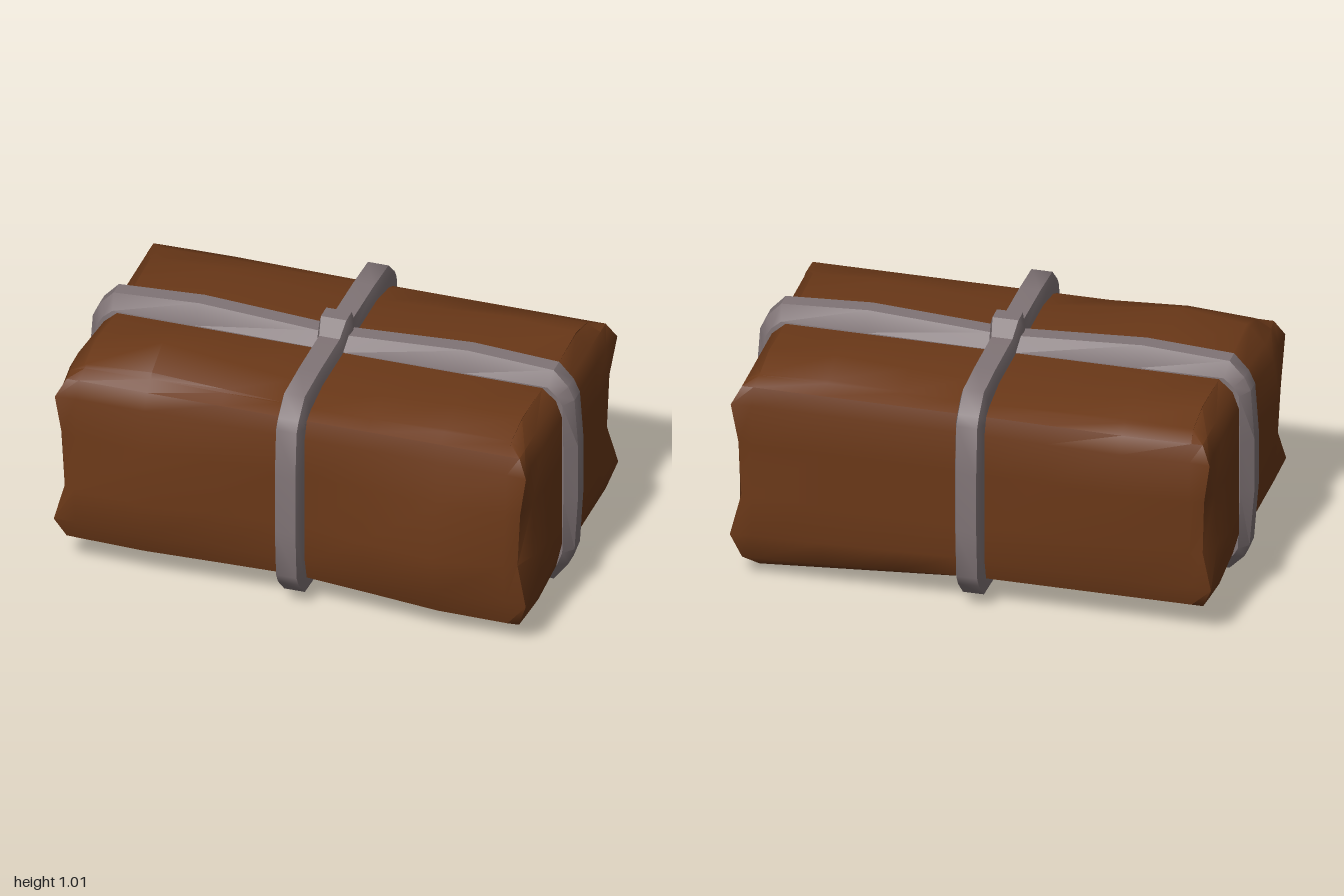
import * as THREE from 'three';
import { mergeVertices, toCreasedNormals } from 'three/addons/utils/BufferGeometryUtils.js';

const brown = new THREE.MeshStandardMaterial({ color: 0x6a3818 });
const grey = new THREE.MeshStandardMaterial({ color: 0x807476, side: THREE.DoubleSide });

// Grid levels of the wrapped bundle; inset rounds its top and bottom edges,
// pinch makes the upright corners wavy
const X = [-0.95, -0.88, -0.6, -0.3, -0.06, 0.06, 0.3, 0.6, 0.88, 0.95];
const Y = [0.1, 0.13, 0.22, 0.37, 0.6, 0.77, 0.84, 0.89];
const INSET = [0.08, 0.025, 0, 0, 0, 0, 0.025, 0.08];
const PINCH = [0, 0, -0.015, 0.025, 0.015, -0.012, 0, 0];
const Z = [-0.55, -0.46, -0.33, -0.09, 0.09, 0.33, 0.46, 0.55];

// Lumps: axis, side, amount, then centre along the two other axes (in x, y, z order)
const LUMPS = [
  ['z', 1, 0.075, 0.6, 0.37], ['z', 1, 0.045, -0.6, 0.37], ['z', -1, 0.025, -0.6, 0.6],
  ['x', -1, 0.05, 0.6, 0.33], ['x', -1, 0.035, 0.37, -0.33], ['x', 1, 0.03, 0.37, 0.33],
  ['y', 1, 0.065, -0.6, 0.33], ['y', 1, 0.03, 0.6, -0.33], ['y', 1, 0.02, 0.6, 0.33],
  ['y', 1, 0.02, -0.6, -0.33],
];
const REACH = { x: 0.5, y: 0.4, z: 0.24 };

function bundleGeometry() {
  const nx = X.length - 1, ny = Y.length - 1, nz = Z.length - 1;
  const geo = new THREE.BoxGeometry(1, 1, 1, nx, ny, nz);
  geo.deleteAttribute('uv');
  geo.deleteAttribute('normal');
  const pos = geo.attributes.position;
  for (let n = 0; n < pos.count; n++) {
    const i = Math.round((pos.getX(n) + 0.5) * nx);
    const j = Math.round((pos.getY(n) + 0.5) * ny);
    const k = Math.round((pos.getZ(n) + 0.5) * nz);
    const base = { x: X[i], y: Y[j], z: Z[k] };
    const ends = { x: [i === 0, i === nx], y: [j === 0, j === ny], z: [k === 0, k === nz] };
    const p = {
      x: THREE.MathUtils.clamp(base.x, INSET[j] - 0.95, 0.95 - INSET[j]),
      y: base.y,
      z: THREE.MathUtils.clamp(base.z, INSET[j] - 0.55, 0.55 - INSET[j]),
    };
    if (ends.x.includes(true) && ends.z.includes(true)) {
      p.x -= Math.sign(p.x) * PINCH[j];
      p.z -= Math.sign(p.z) * PINCH[j] * 0.6;
    }
    for (const [axis, side, amount, c1, c2] of LUMPS) {
      if (!ends[axis][side > 0 ? 1 : 0]) continue;
      const [a, b] = ['x', 'y', 'z'].filter((q) => q !== axis);
      const fall = (q, c) => Math.max(0, 1 - Math.abs(base[q] - c) / REACH[q]);
      p[axis] += side * amount * fall(a, c1) * fall(b, c2);
    }
    // The long edges of the top droop, and the front one below lifts
    if (j === ny && Math.abs(base.z) > 0.45) p.y -= 0.025;
    if (j === 0 && base.z > 0.45) p.y += 0.02;
    // The underside sags towards one end
    if (p.x > 0 && j < 3) p.y -= 0.062 * Math.min(1, p.x / 0.87) * (1 - j / 3);
    pos.setXYZ(n, p.x, p.y, p.z);
  }
  return toCreasedNormals(mergeVertices(geo), 0.75);
}

// Bevelled strap swept round a closed counter-clockwise outline.
// Each point is [u, y, bevel depth, extra width].
function strapGeometry(path, outer, inner) {
  const depth = 0.12, count = path.length, ring = 6;
  const verts = [], index = [];
  path.forEach(([u, y, bevel = 0.045, extra = 0], i) => {
    const a = path[(i + count - 1) % count], b = path[(i + 1) % count];
    const t = new THREE.Vector2(b[0] - a[0], b[1] - a[1]).normalize();
    const section = [[-inner - extra, depth], [-inner - extra, bevel], [-outer - extra, 0],
      [outer + extra, 0], [inner + extra, bevel], [inner + extra, depth]];
    for (const [w, d] of section) verts.push(u - t.y * d, y + t.x * d, w);
    for (let j = 0; j < ring - 1; j++) {
      const p = i * ring + j, q = ((i + 1) % count) * ring + j;
      index.push(p, q, q + 1, p, q + 1, p + 1);
    }
  });
  const geo = new THREE.BufferGeometry();
  geo.setAttribute('position', new THREE.Float32BufferAttribute(verts, 3));
  geo.setIndex(index);
  return toCreasedNormals(geo, 0.7);
}

export function createModel() {
  const group = new THREE.Group();
  const add = (name, geo, mat) => {
    const mesh = new THREE.Mesh(geo, mat);
    mesh.name = name;
    group.add(mesh);
    return mesh;
  };

  add('wrappedBundle', bundleGeometry(), brown);

  // Strap running the long way
  const longPath = [
    [1, 0.4], [1, 0.62], [0.985, 0.83, 0.035], [0.96, 0.885, 0.04], [0.9, 0.95, 0.055], [0.55, 0.97, 0.075],
    [0.06, 0.942, 0.05], [-0.06, 0.942, 0.05], [-0.55, 0.97, 0.075], [-0.9, 0.95, 0.055],
    [-0.96, 0.885, 0.04], [-0.985, 0.83, 0.035], [-1, 0.62], [-1, 0.4], [-0.98, 0.15, 0.035], [-0.96, 0.1, 0.04],
    [-0.9, 0.04, 0.055], [-0.06, 0.045, 0.055], [0.06, 0.06], [0.9, 0, 0.04], [0.96, 0.08, 0.035], [0.985, 0.15, 0.035],
  ];
  add('longStrap', strapGeometry(longPath, 0.033, 0.08), grey);

  // Strap running the short way, stepping over the long one
  const half = [
    [0.625, 0.38], [0.625, 0.63], [0.61, 0.83], [0.585, 0.87], [0.51, 0.94],
    [0.33, 0.95], [0.085, 0.952], [0.033, 1.01, 0.045, 0.01],
  ];
  const under = [[0.035, 0.026, 0.045, 0.01], [0.085, 0.04], [0.33, 0.04], [0.51, 0.05], [0.585, 0.125], [0.61, 0.17]];
  const flip = (pts) => pts.map(([u, ...rest]) => [-u, ...rest]).reverse();
  const shortPath = [...half, ...flip(half), ...flip(under), ...under];
  add('shortStrap', strapGeometry(shortPath, 0.042, 0.055), grey).rotation.y = -Math.PI / 2;

  return group;
}
